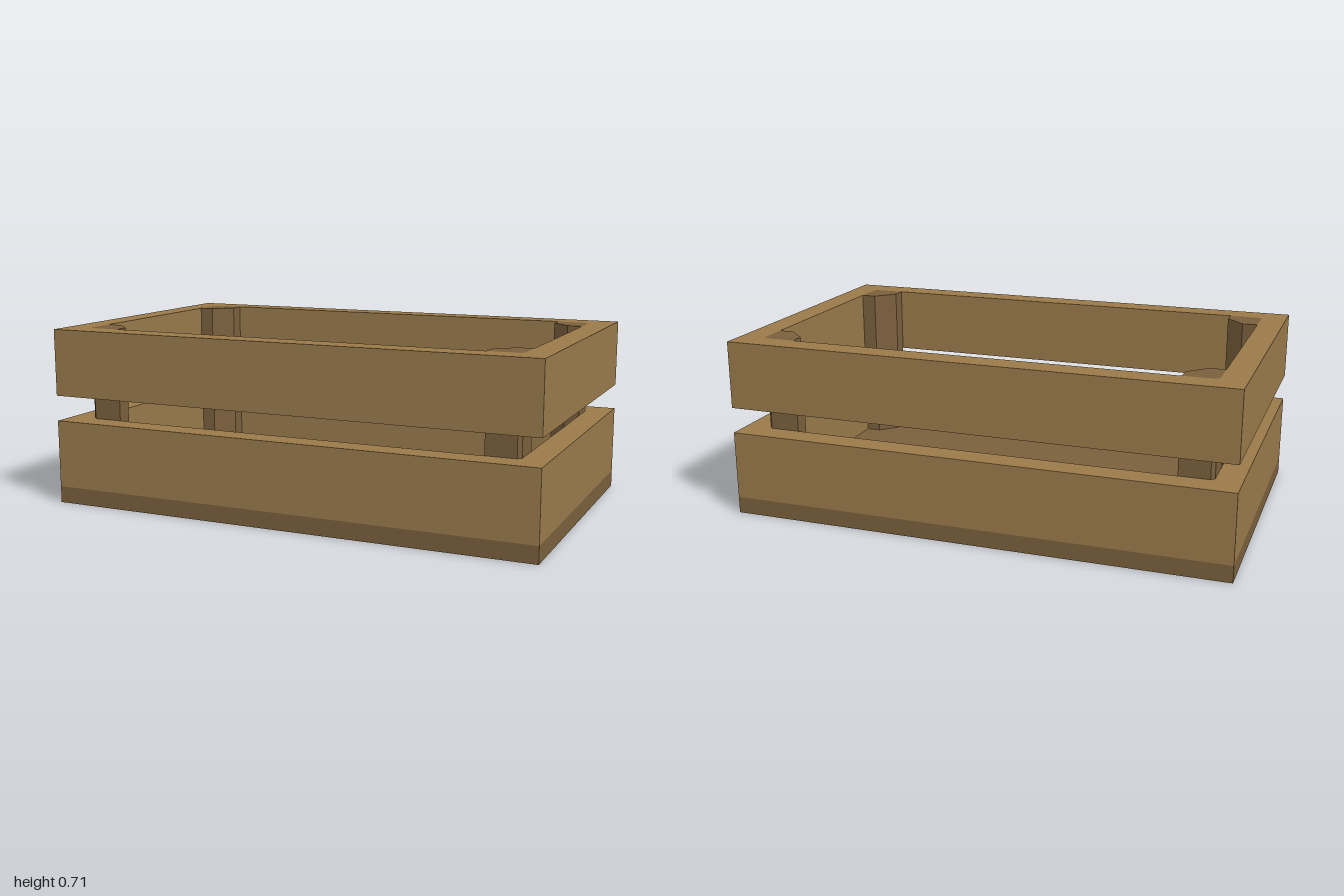
import * as THREE from 'three';

const lightWood = new THREE.MeshStandardMaterial({ name: 'lightWood', color: 0x997a4a });
const darkWood = new THREE.MeshStandardMaterial({ name: 'darkWood', color: 0x7a5f3c });

const FLOOR = 0.067, TOP = 0.712;
const IN_X = 0.9, IN_Z = 0.5, CUT = 0.014;

const toPoints = (list) => list.map(([x, z]) => new THREE.Vector2(x, z));

// Upright extrusion of a plan shape between two heights
function extrudeUp(shape, y0, y1) {
  const geometry = new THREE.ExtrudeGeometry(shape, { depth: y1 - y0, bevelEnabled: false });
  geometry.rotateX(-Math.PI / 2);
  geometry.translate(0, y0, 0);
  return geometry;
}

// Rectangular band of slats with an opening that hugs the corner posts
function slatBand(y0, y1) {
  const shape = new THREE.Shape(toPoints([[-1, -0.6], [1, -0.6], [1, 0.6], [-1, 0.6]]));
  const a = IN_X - CUT, b = IN_Z - CUT;
  shape.holes.push(new THREE.Path(toPoints([
    [-IN_X, -b], [-IN_X, b], [-a, IN_Z], [a, IN_Z],
    [IN_X, b], [IN_X, -b], [a, -IN_Z], [-a, -IN_Z],
  ])));
  return extrudeUp(shape, y0, y1);
}

// Corner post with a chamfered inner edge
function cornerPost(sx, sz) {
  const plan = [
    [IN_X, 0.367], [0.84, 0.367], [0.767, 0.44], [0.767, IN_Z],
    [IN_X - CUT, IN_Z], [IN_X, IN_Z - CUT],
  ];
  return extrudeUp(new THREE.Shape(toPoints(plan.map(([x, z]) => [sx * x, sz * z]))), FLOOR, TOP);
}

export function createModel() {
  const crate = new THREE.Group();
  crate.name = 'crate';
  const add = (name, geometry, material) => {
    const mesh = new THREE.Mesh(geometry, material);
    mesh.name = name;
    crate.add(mesh);
  };

  // Floor board
  add('floor', new THREE.BoxGeometry(2, FLOOR, 1.2).translate(0, FLOOR / 2, 0), darkWood);

  // Slatted walls
  add('lowerSlats', slatBand(FLOOR, 0.34), lightWood);
  add('upperSlats', slatBand(0.443, TOP), lightWood);

  // Four posts joining the bands
  for (const [sx, side] of [[1, 'Left'], [-1, 'Right']]) {
    for (const [sz, end] of [[-1, 'front'], [1, 'back']]) {
      add(`${end}${side}Post`, cornerPost(sx, sz), darkWood);
    }
  }
  return crate;
}
